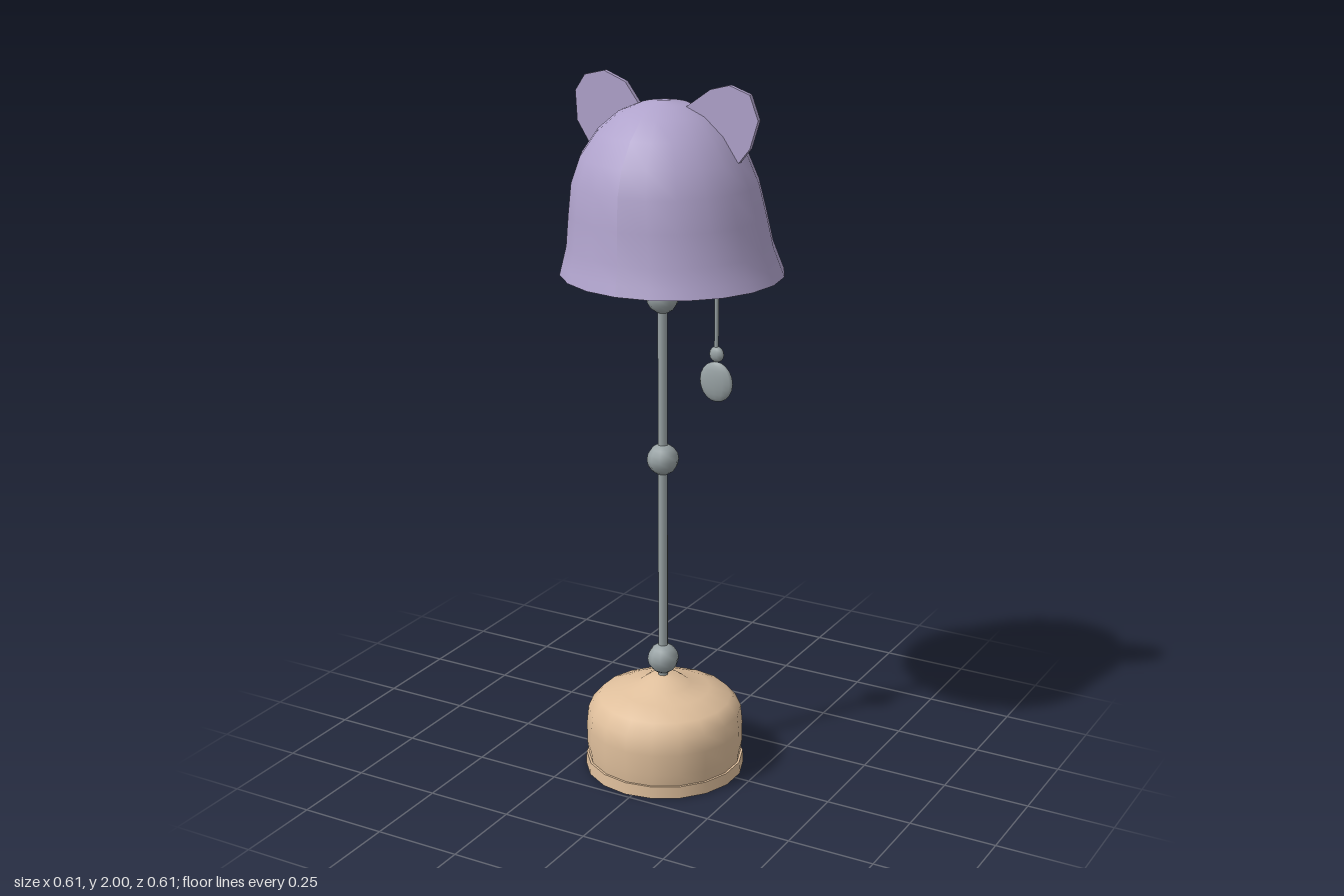
import * as THREE from 'three';

const AXIS_X = -0.02, AXIS_Z = 0.01;

const material = (color) => new THREE.MeshStandardMaterial({ color, side: THREE.DoubleSide });

// Smooth lathe from [radius, height] pairs
function lathe(points, sides) {
  return new THREE.LatheGeometry(points.map(([r, y]) => new THREE.Vector2(r, y)), sides);
}

export function createModel() {
  const lamp = new THREE.Group();
  lamp.name = 'tableLamp';
  const purple = material(0xb0a3cc);
  const metal = material(0x98a2a4);
  const wood = material(0xdfbf9c);

  function add(name, geometry, mat, x, y, z = AXIS_Z) {
    const mesh = new THREE.Mesh(geometry, mat);
    mesh.name = name;
    mesh.position.set(x, y, z);
    lamp.add(mesh);
    return mesh;
  }

  // Base: thin plinth under a rounded body with a small neck
  add('basePlinth', new THREE.CylinderGeometry(0.227, 0.229, 0.035, 18), wood, AXIS_X, 0.0175);
  add('baseBody', lathe([
    [0.22, 0.03], [0.225, 0.07], [0.225, 0.13], [0.22, 0.18], [0.19, 0.215],
    [0.13, 0.24], [0.075, 0.253], [0.045, 0.275], [0, 0.28],
  ], 18), wood, AXIS_X, 0);

  // Stem with three beads
  add('stem', new THREE.CylinderGeometry(0.014, 0.014, 1.26, 8), metal, AXIS_X - 0.005, 0.89);
  for (const y of [0.33, 0.935, 1.4]) {
    add('stemBead', new THREE.SphereGeometry(0.045, 10, 8), metal, AXIS_X - 0.005, y);
  }

  // Open bell shade; its axis leans slightly from the rim to the crown
  const shade = lathe([
    [0.305, 1.472], [0.296, 1.5], [0.28, 1.55], [0.267, 1.635], [0.252, 1.72],
    [0.225, 1.79], [0.18, 1.855], [0.125, 1.902], [0.065, 1.927], [0, 1.935],
  ], 20);
  const pos = shade.attributes.position;
  for (let i = 0; i < pos.count; i++) {
    const t = Math.min(1, (pos.getY(i) - 1.472) / 0.28);
    pos.setX(i, pos.getX(i) + AXIS_X * t);
    pos.setZ(i, pos.getZ(i) + AXIS_Z * 0.7 * t);
  }
  shade.computeVertexNormals();
  add('shade', shade, purple, 0, 0, 0);

  // Flat ears, each a leaf outline with its inner edge sunk in the shade
  const ears = {
    rightEar: [[-0.24, 1.79], [-0.285, 1.86], [-0.29, 1.94], [-0.26, 1.985], [-0.2, 2.0],
      [-0.135, 1.975], [-0.09, 1.915]],
    leftEar: [[0.05, 1.925], [0.12, 1.975], [0.175, 1.99], [0.235, 1.97], [0.26, 1.905],
      [0.237, 1.83], [0.205, 1.79]],
  };
  for (const [name, outline] of Object.entries(ears)) {
    const shape = new THREE.Shape(outline.map(([x, y]) => new THREE.Vector2(x, y)));
    const geometry = new THREE.ExtrudeGeometry(shape, { depth: 0.014, bevelEnabled: false });
    add(name, geometry, purple, 0, 0, 0.001);
  }

  // Pull cord with a small bead and a flattened pendant
  add('pullCord', new THREE.CylinderGeometry(0.006, 0.006, 0.34, 6), metal, 0.141, 1.44);
  const bead = add('pullBead', new THREE.SphereGeometry(0.022, 10, 8), metal, 0.142, 1.263);
  bead.scale.z = 0.6;
  const pendant = add('pullPendant', new THREE.SphereGeometry(0.055, 12, 10), metal, 0.141, 1.185);
  pendant.scale.set(0.92, 1.03, 0.28);

  return lamp;
}
